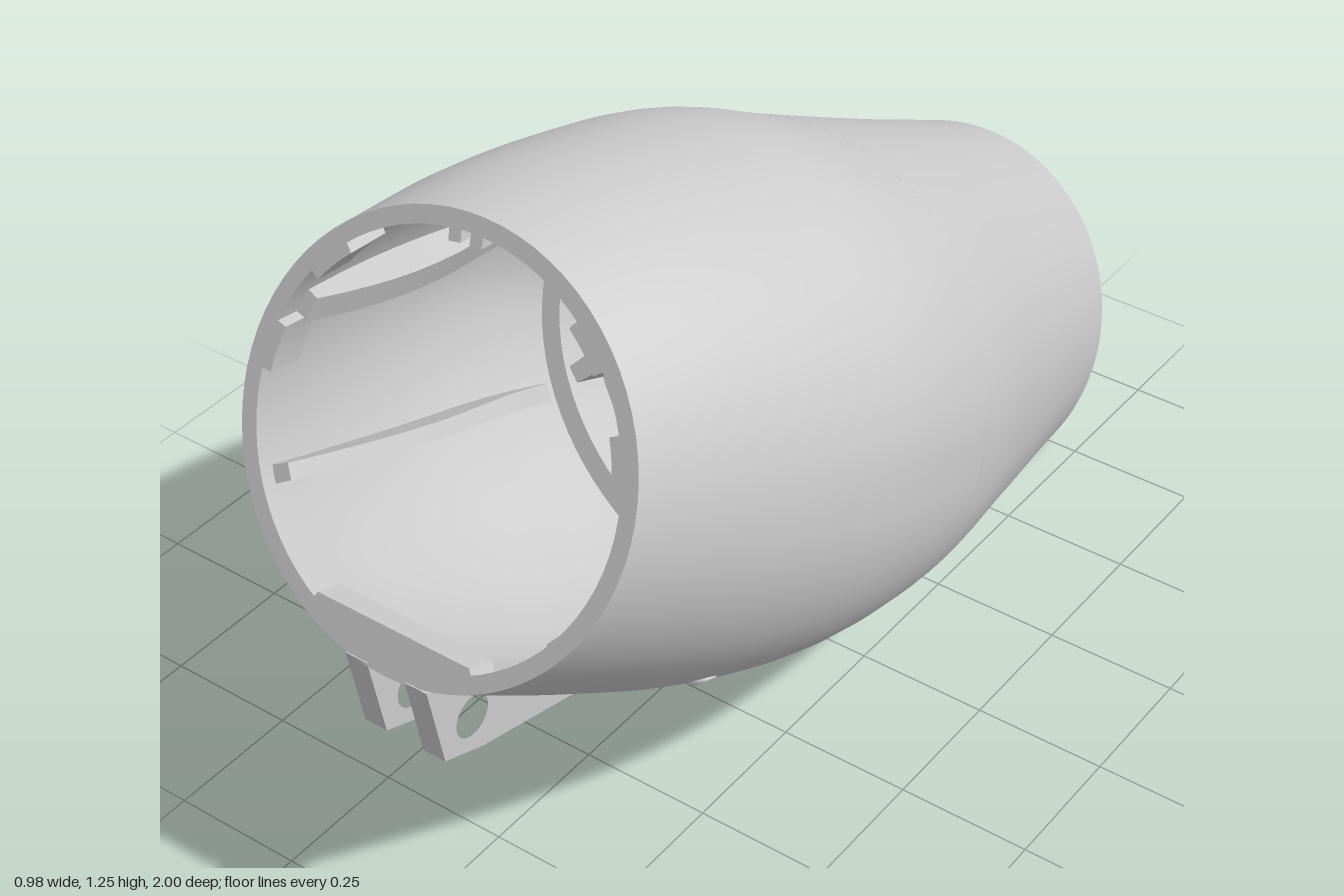
import * as THREE from 'three';
import { mergeGeometries, mergeVertices, toCreasedNormals } from 'three/addons/utils/BufferGeometryUtils.js';

const grey = new THREE.MeshStandardMaterial({ color: 0xcccccc });
grey.name = 'plain grey';

const D = Math.PI / 180;
const WALL = 0.03;
const S_BODY = 0.95, S_TAIL = 1.82;

// Sections along the tilted axis: side radius, sideways shift, upward shift, top radius, bottom radius, skew of the lower half
const sections = new THREE.CubicInterpolant(
  [0, 0.24, 0.47, 0.7, 0.95, 1.4, 1.82, 1.9],
  [
    0.382, 0.006, 0, 0.378, 0.378, 0,
    0.434, 0, 0, 0.433, 0.425, 0.005,
    0.472, 0, 0.01, 0.456, 0.463, 0.014,
    0.488, 0, 0.025, 0.459, 0.473, 0.025,
    0.472, -0.008, 0.01, 0.448, 0.425, 0.025,
    0.41, -0.06, 0, 0.408, 0.4, 0.01,
    0.362, -0.12, 0, 0.364, 0.364, 0,
    0.354, -0.13, 0, 0.356, 0.356, 0,
  ], 6);

// Point at distance s along the axis, angle a in degrees, offset o from the outer skin
function point(s, a, o) {
  const [r, cx, cu, top, bottom, skew] = sections.evaluate(s);
  const sin = Math.sin(a * D), cos = Math.cos(a * D);
  const d = o + (sin < 0 ? -2 * skew * sin * cos : 0);
  const x = cx + (r + d) * cos;
  const u = cu + ((sin > 0 ? top : bottom) + d) * sin;
  return new THREE.Vector3(x, 0.905 - 0.4 * s + 0.917 * u, 0.85 - 0.917 * s - 0.4 * u);
}

// Grid surface from f(u, v)
function patch(f, nu, nv, flip) {
  const pos = [], idx = [];
  for (let i = 0; i <= nu; i++)
    for (let j = 0; j <= nv; j++) pos.push(...f(i / nu, j / nv).toArray());
  for (let i = 0; i < nu; i++)
    for (let j = 0; j < nv; j++) {
      const a = i * (nv + 1) + j, b = a + nv + 1;
      if (flip) idx.push(a, b + 1, b, a, a + 1, b + 1);
      else idx.push(a, b, b + 1, a, b + 1, a + 1);
    }
  const g = new THREE.BufferGeometry();
  g.setAttribute('position', new THREE.Float32BufferAttribute(pos, 3));
  g.setIndex(idx);
  return g;
}

const fn = (v) => (typeof v === 'function' ? v : () => v);
const mix = THREE.MathUtils.lerp;

// Curved solid that follows the shell; angles may vary with t, inner offset with t, a and s
function slab(name, s0, s1, from, to, inner, outer, ns = 12, na = 4) {
  const a0 = fn(from), a1 = fn(to), o0 = fn(inner);
  const P = (t, v, w) => {
    const s = mix(s0, s1, t), a = mix(a0(t), a1(t), v);
    return point(s, a, mix(o0(t, a, s), outer, w));
  };
  const faces = [
    patch((t, v) => P(t, v, 1), ns, na, false),
    patch((t, v) => P(t, v, 0), ns, na, true),
    patch((v, w) => P(1, v, w), na, 1, false),
    patch((v, w) => P(0, v, w), na, 1, true),
  ];
  if (a1(0) - a0(0) < 360) faces.push(
    patch((w, t) => P(t, 1, w), 1, ns, false),
    patch((w, t) => P(t, 0, w), 1, ns, true));
  const geo = toCreasedNormals(mergeVertices(mergeGeometries(faces), 1e-5), 0.6);
  const mesh = new THREE.Mesh(geo, grey);
  mesh.name = name;
  return mesh;
}

// Pierced hinge lug, its side profile drawn in (z, y)
function lug(xMax) {
  const pts = [[1.0, 0.565], [0.97, 0.4], [0.88, 0.365], [0.57, 0.285], [0.6, 0.325], [0.8, 0.45], [0.96, 0.57]];
  const shape = new THREE.Shape(pts.map(([z, y]) => new THREE.Vector2(z, y)));
  const hole = new THREE.Path();
  hole.absarc(0.9, 0.445, 0.039, 0, Math.PI * 2, true);
  shape.holes.push(hole);
  const geo = new THREE.ExtrudeGeometry(shape, { depth: 0.045, bevelEnabled: false, curveSegments: 16 });
  geo.rotateY(-Math.PI / 2);
  const mesh = new THREE.Mesh(geo, grey);
  mesh.position.x = xMax;
  mesh.name = 'hingeLug';
  return mesh;
}

// Small rim around a screw hole in the skin
function screwRim(s, a) {
  const mesh = new THREE.Mesh(new THREE.TorusGeometry(0.018, 0.005, 6, 18), grey);
  const p = point(s, a, 0);
  mesh.position.copy(p);
  const n = point(s, a, 1).sub(p).normalize();
  mesh.quaternion.setFromUnitVectors(new THREE.Vector3(0, 0, 1), n);
  mesh.name = 'screwRim';
  return mesh;
}

export function createModel() {
  const g = new THREE.Group();
  g.name = 'limbShell';

  // Full tube in front, half shell behind
  const low = (t) => mix(-47, -30, t), high = (t) => mix(145, 129, t);
  g.add(slab('body', 0, S_BODY, -90, 270, -WALL, 0, 28, 72));
  g.add(slab('tail', S_BODY, S_TAIL, low, high, -WALL, 0, 24, 40));

  // Stepped lips along the open edges
  g.add(slab('bodyLip', S_BODY - 0.06, S_BODY + 0.045, 141, 318, -0.07, -0.016, 2, 36));
  g.add(slab('tailEndLip', S_TAIL - 0.04, S_TAIL + 0.05, -30.5, 130, -0.05, -0.02, 2, 40));
  g.add(slab('tailLowerLedge', S_BODY, S_TAIL + 0.05, low, (t) => low(t) + 5, -0.07, -0.02, 20, 1));
  g.add(slab('tailUpperLip', S_BODY, S_TAIL + 0.05, (t) => high(t) - 3, (t) => high(t) + 3, -0.045, -0.016, 20, 1));

  // Flat sill at the bottom of the front opening
  const flat = (t, a, s) => 0.3 / -Math.sin(a * D) - sections.evaluate(s)[4];
  g.add(slab('hingeSill', 0, 0.06, -117, -63, flat, -0.01, 2, 12));
  g.add(lug(-0.026), lug(0.096));

  // Rails running along the inside
  const swell = (d) => (t) => -WALL - d * Math.sin(Math.PI * mix(0.12, 0.95, t));
  const deep = (t, a, s) => mix(0.26, 0.21, t) - sections.evaluate(s)[0];
  const rails = [
    [0.02, 1.0, 98, 102, () => -0.06],
    [0.02, 1.0, 91, 95, () => -0.06],
    [0.06, 0.72, 43, 49, deep],
    [0.06, 0.75, 158, 166, swell(0.06)],
    [0.04, 0.86, 206, 211, swell(0.09)],
    [0.05, 0.8, -43, -37, swell(0.06)],
    [1.5, 1.8, 100, 105, () => -0.065],
    [1.5, 1.8, 20, 25, () => -0.065],
  ];
  for (const [s0, s1, a0, a1, o] of rails) g.add(slab('innerRail', s0, s1, a0, a1, o, -0.015, 10, 1));

  // Bevelled cross band where the tube meets the half shell
  g.add(slab('innerBand', 0.86, 1.04, 20, 142, (t) => -0.028 - 0.03 * Math.sin(Math.PI * t), -0.02, 4, 24));

  // Short mounting pads just inside the front rim
  for (const a of [18, 48, 140, 172])
    g.add(slab('rimPad', 0, 0.1, a - 7, a + 7, -0.048, -0.015, 2, 4));

  for (const [s, a] of [[0.477, -52], [0.054, 161], [0.06, -130], [0.516, 156]]) g.add(screwRim(s, a));
  return g;
}
